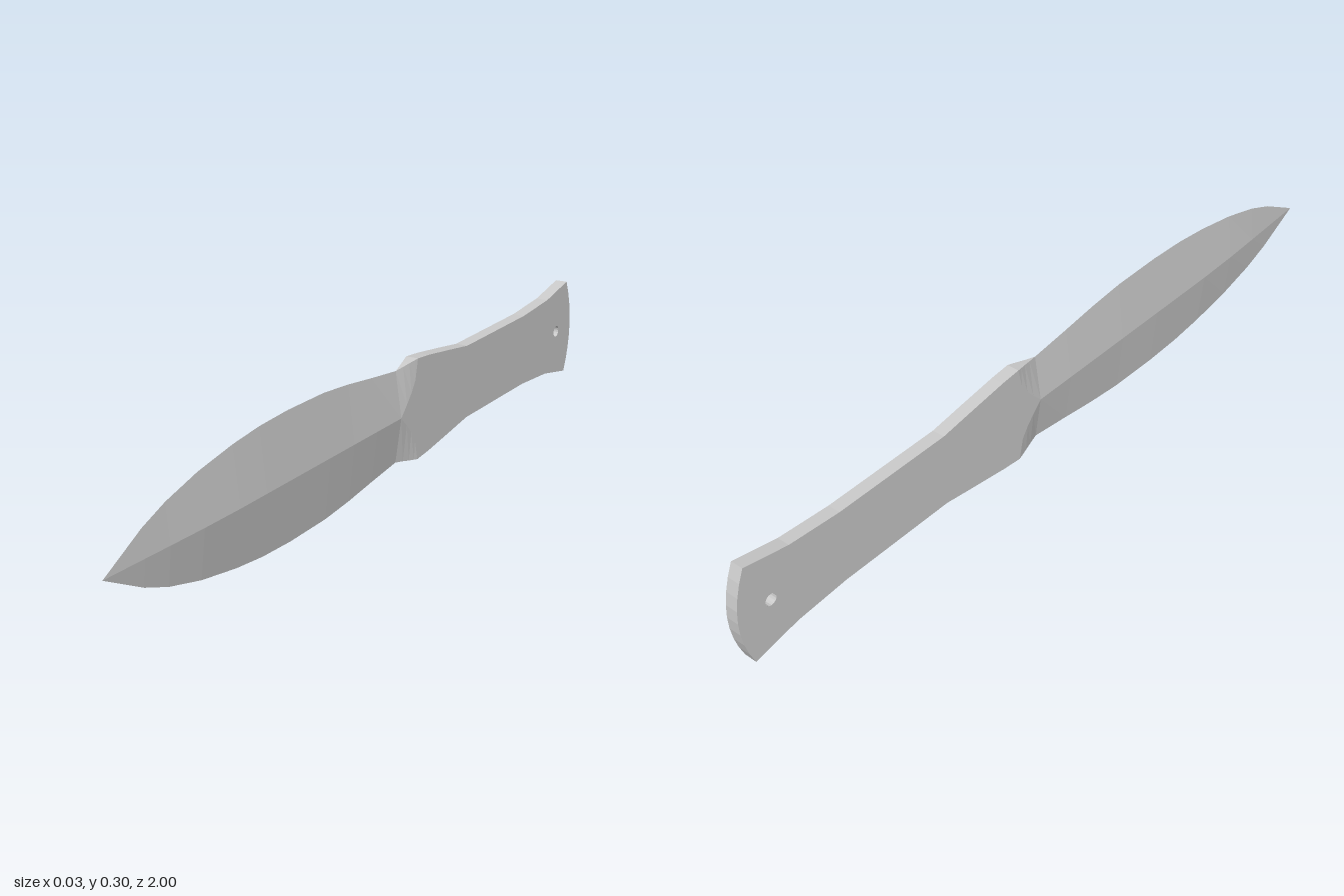
import * as THREE from 'three';

const MID = 0.151;   // height of the long axis
const T = 0.016;     // half thickness of the stock

// Blade sections: z, half height, ridge half thickness, edge half thickness, flat share
const sections = [
  [-0.147, 0.127, T, T, 1],
  [-0.135, 0.125, T, T * 0.85, 0.6],
  [-0.117, 0.122, T, T * 0.6, 0.4],
  [-0.096, 0.118, T, T * 0.33, 0.22],
  [-0.07, 0.114, T, 0, 0],
  [0.04, 0.127, T, 0, 0],
  [0.14, 0.14, T, 0, 0],
  [0.24, 0.149, T, 0, 0],
  [0.38, 0.151, T, 0, 0],
  [0.485, 0.147, T, 0, 0],
  [0.58, 0.137, T, 0, 0],
  [0.7, 0.117, 0.0135, 0, 0],
  [0.805, 0.09, 0.009, 0, 0],
  [0.88, 0.062, 0.0055, 0, 0],
  [1, 0, 0, 0, 0],
];

// Handle outline, upper half: distance toward the tail, half height
const handleOutline = [
  [0.147, 0.127], [0.2, 0.122], [0.3, 0.108], [0.395, 0.094],
  [0.71, 0.094], [0.85, 0.104], [0.97, 0.128],
];

function bladeGeometry() {
  const pos = [], index = [];
  for (const [z, h, t, e, f] of sections) {
    const ring = [[e, h], [t, f * h], [t, -f * h], [e, -h], [-e, -h], [-t, -f * h], [-t, f * h], [-e, h]];
    for (const [x, y] of ring) pos.push(x, y + MID, z);
  }
  const at = (i) => new THREE.Vector3().fromArray(pos, i * 3);
  const tri = (a, b, c) => {
    if (new THREE.Triangle(at(a), at(b), at(c)).getArea() > 1e-8) index.push(a, b, c);
  };
  for (let i = 0; i < sections.length - 1; i++) {
    for (let j = 0; j < 8; j++) {
      const a = i * 8 + j, b = i * 8 + (j + 1) % 8;
      tri(a, a + 8, b);
      tri(b, a + 8, b + 8);
    }
  }
  const geo = new THREE.BufferGeometry();
  geo.setAttribute('position', new THREE.Float32BufferAttribute(pos, 3));
  geo.setIndex(index);
  const flat = geo.toNonIndexed();
  flat.computeVertexNormals();
  return flat;
}

function handleGeometry() {
  const shape = new THREE.Shape();
  const lower = handleOutline.map(([u, h]) => [u, MID - h]);
  const upper = handleOutline.map(([u, h]) => [u, MID + h]).reverse();
  shape.moveTo(...lower[0]);
  for (const p of lower.slice(1)) shape.lineTo(...p);
  // Bowed tail end
  shape.quadraticCurveTo(1.03, MID, ...upper[0]);
  for (const p of upper.slice(1)) shape.lineTo(...p);
  shape.closePath();
  // Lanyard hole
  const hole = new THREE.Path();
  hole.absarc(0.912, MID + 0.001, 0.015, 0, Math.PI * 2, true);
  shape.holes.push(hole);
  const geo = new THREE.ExtrudeGeometry(shape, { depth: 2 * T, bevelEnabled: false, curveSegments: 8 });
  geo.translate(0, 0, -T);
  geo.rotateY(Math.PI / 2);
  return geo;
}

export function createModel() {
  const group = new THREE.Group();
  group.name = 'throwingKnife';
  const material = new THREE.MeshStandardMaterial({ color: 0xcccccc, flatShading: true });
  const add = (name, geo) => {
    const mesh = new THREE.Mesh(geo, material);
    mesh.name = name;
    group.add(mesh);
  };
  add('blade', bladeGeometry());
  add('handle', handleGeometry());
  return group;
}
